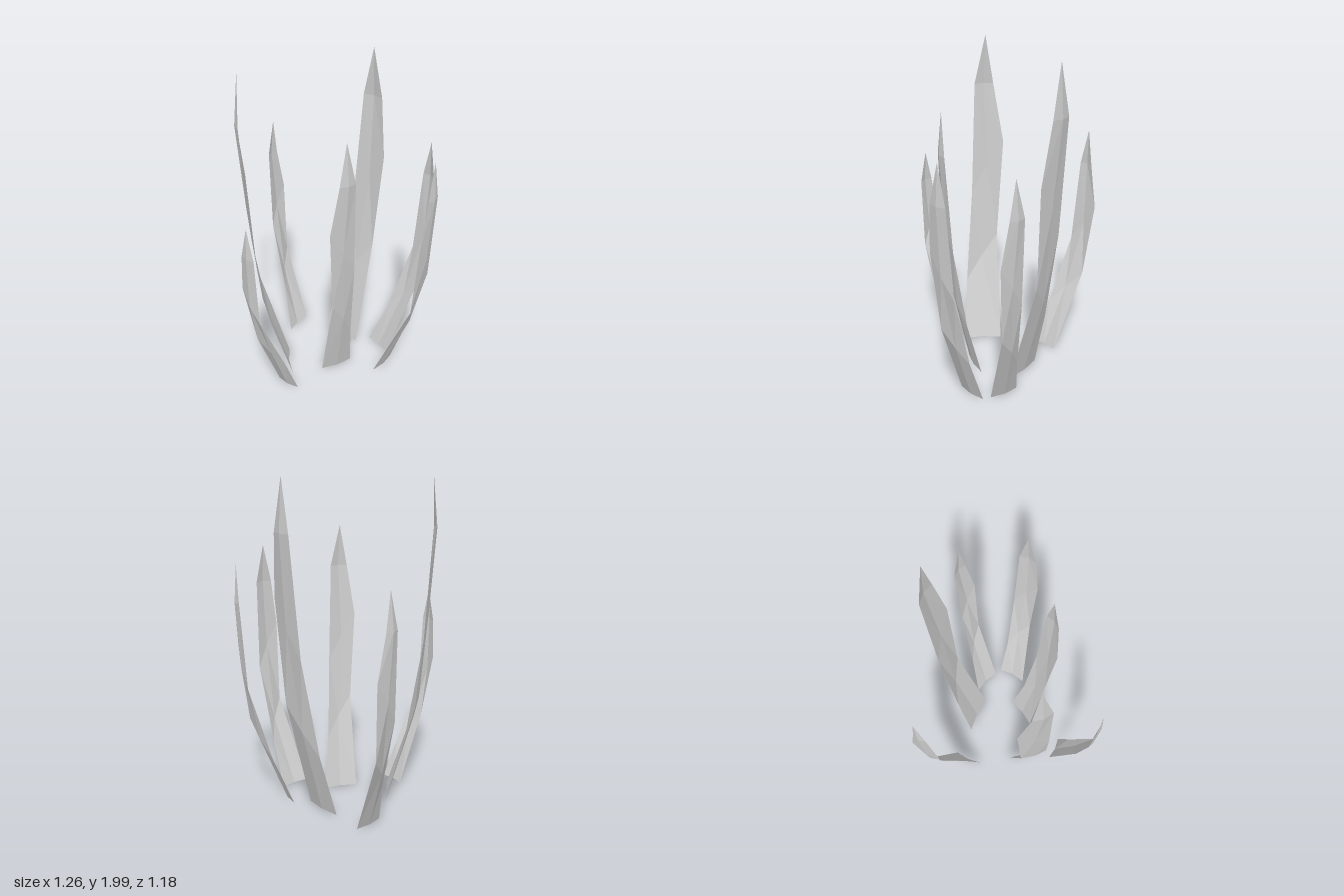
import * as THREE from 'three';

// Each blade: height, tip [x, z], and [x, z] down both edges from base to shoulder.
const BLADES = [
  { name: 'backBlade', height: 2, tip: [-0.01, -0.51],
    late: [[0.085, -0.285], [0.07, -0.46], [0.105, -0.495], [0.055, -0.52]],
    early: [[-0.16, -0.275], [-0.13, -0.37], [-0.1, -0.47], [-0.08, -0.52]] },
  { name: 'backLeftBlade', height: 1.49, tip: [0.39, -0.565],
    late: [[0.31, -0.325], [0.41, -0.5], [0.46, -0.53], [0.43, -0.56]],
    early: [[0.135, -0.375], [0.23, -0.46], [0.32, -0.56], [0.34, -0.585]] },
  { name: 'leftBlade', height: 1.55, tip: [0.61, -0.235],
    late: [[0.35, -0.12], [0.56, -0.178], [0.605, -0.155], [0.617, -0.18]],
    early: [[0.355, -0.305], [0.46, -0.3], [0.58, -0.31], [0.612, -0.29]] },
  { name: 'frontLeftBlade', height: 1.68, tip: [0.26, 0.1],
    late: [[0.08, 0.08], [0.195, 0.125], [0.21, 0.175], [0.25, 0.145]],
    early: [[0.165, -0.11], [0.215, -0.04], [0.27, 0.015], [0.29, 0.05]] },
  { name: 'frontBlade', height: 1.26, tip: [-0.045, 0.58],
    late: [[-0.08, 0.32], [-0.08, 0.5], [-0.115, 0.565], [-0.09, 0.58]],
    early: [[0.07, 0.315], [0.038, 0.4], [0.005, 0.56], [0, 0.58]] },
  { name: 'frontRightBlade', height: 2, tip: [-0.32, 0.31],
    late: [[-0.215, 0.07], [-0.335, 0.22], [-0.39, 0.22], [-0.37, 0.29]],
    early: [[-0.04, 0.235], [-0.14, 0.31], [-0.235, 0.35], [-0.28, 0.365]] },
  { name: 'rightBlade', height: 1.46, tip: [-0.615, -0.28],
    late: [[-0.355, -0.28], [-0.565, -0.325], [-0.61, -0.36], [-0.618, -0.31]],
    early: [[-0.345, -0.1], [-0.44, -0.16], [-0.585, -0.21], [-0.617, -0.23]] },
];

// Row heights as fractions of blade height; the edges are staggered
const LATE_Y = [0.008, 0.35, 0.667, 0.85];
const EARLY_Y = [0.008, 0.2, 0.5, 0.85];
const RIB = 0.013;

function bladeGeometry({ height, tip, late, early }) {
  const outX = tip[0] - (late[0][0] + early[0][0]) / 2;
  const outZ = tip[1] - (late[0][1] + early[0][1]) / 2;
  const positions = [];
  for (let i = 0; i < 4; i++) {
    const a = new THREE.Vector3(late[i][0], LATE_Y[i] * height, late[i][1]);
    const b = new THREE.Vector3(early[i][0], EARLY_Y[i] * height, early[i][1]);
    // midrib pushed to the outer side, across the chord
    const push = new THREE.Vector3(b.z - a.z, 0, a.x - b.x).normalize().multiplyScalar(RIB);
    if (push.x * outX + push.z * outZ < 0) push.negate();
    const rib = a.clone().add(b).multiplyScalar(0.5).add(push);
    positions.push(...a.toArray(), ...rib.toArray(), ...b.toArray());
  }
  positions.push(tip[0], height, tip[1]);
  const index = [];
  for (let r = 0; r < 3; r++) {
    for (let c = 0; c < 2; c++) {
      const k = r * 3 + c;
      index.push(k, k + 1, k + 4, k, k + 4, k + 3);
    }
  }
  index.push(9, 10, 12, 10, 11, 12);
  const indexed = new THREE.BufferGeometry();
  indexed.setAttribute('position', new THREE.Float32BufferAttribute(positions, 3));
  indexed.setIndex(index);
  const geometry = indexed.toNonIndexed();
  geometry.computeVertexNormals();
  return geometry;
}

export function createModel() {
  const group = new THREE.Group();
  group.name = 'grassTuft';
  const grey = new THREE.MeshStandardMaterial({
    name: 'paleGrey', color: 0xcccccc, flatShading: true, side: THREE.DoubleSide,
  });
  for (const blade of BLADES) {
    const mesh = new THREE.Mesh(bladeGeometry(blade), grey);
    mesh.name = blade.name;
    group.add(mesh);
  }
  return group;
}
